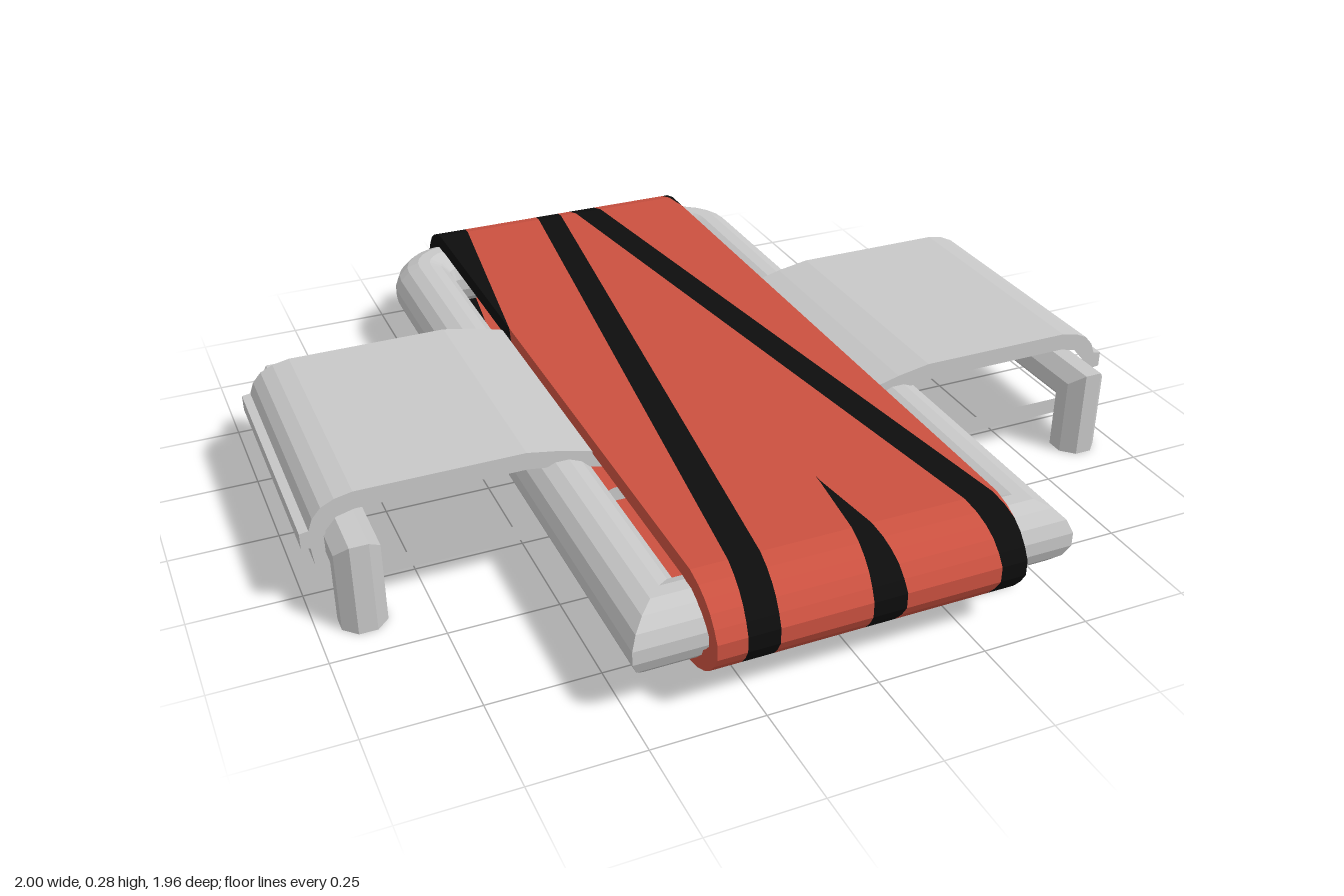
import * as THREE from 'three';

const grey = new THREE.MeshStandardMaterial({ name: 'frame grey', color: 0xc8c8c8 });
const red = new THREE.MeshStandardMaterial({ name: 'belt red', color: 0xcb5140 });
const black = new THREE.MeshStandardMaterial({ name: 'stripe black', color: 0x0d0d0d });

const quad = (out, a, b, c, d) => out.push(...a, ...b, ...c, ...a, ...c, ...d);

function flatMesh(name, positions, material) {
  const g = new THREE.BufferGeometry();
  g.setAttribute('position', new THREE.Float32BufferAttribute(positions, 3));
  g.computeVertexNormals();
  const m = new THREE.Mesh(g, material);
  m.name = name;
  return m;
}

// Sweep a polygon along a flat path with mitred corners; map turns (u, v, w) into x, y, z
function sweep(path, radius, sides, closed, map) {
  const n = path.length, out = [];
  const dir = (a, b) => new THREE.Vector2(b[0] - a[0], b[1] - a[1]).normalize();
  const rings = path.map((p, i) => {
    const next = closed || i < n - 1 ? dir(p, path[(i + 1) % n]) : null;
    const prev = closed || i > 0 ? dir(path[(i + n - 1) % n], p) : next;
    const t = prev.clone().add(next || prev).normalize();
    const stretch = 1 / t.dot(prev);
    return Array.from({ length: sides }, (_, j) => {
      const a = (j + 0.5) / sides * Math.PI * 2, r = radius / Math.cos(Math.PI / sides);
      const k = Math.cos(a) * r * stretch;
      return map(p[0] - t.y * k, p[1] + t.x * k, Math.sin(a) * r);
    });
  });
  for (let i = 0; i < (closed ? n : n - 1); i++) {
    const A = rings[i], B = rings[(i + 1) % n];
    for (let j = 0; j < sides; j++) {
      const k = (j + 1) % sides;
      quad(out, A[j], A[k], B[k], B[j]);
    }
  }
  if (!closed) {
    const S = rings[0], E = rings[n - 1];
    for (let j = 1; j < sides - 1; j++) out.push(...S[0], ...S[j + 1], ...S[j], ...E[0], ...E[j], ...E[j + 1]);
  }
  return out;
}

// Belt: a hollow loop cut into red and black strips that taper along z
function makeBelt() {
  const L = -0.35, R = 0.345, mid = 0.17;
  const line = (z0, x0, z1, x1) => z =>
    THREE.MathUtils.clamp(x0 + (x1 - x0) * (z - z0) / (z1 - z0), L, R);
  const wedge = side => z => 0.027 + side * Math.max(0, (z - 0.66) / 0.32) * 0.038;
  const edges = [
    () => L,
    line(-0.98, -0.255, -0.25, -0.35),
    line(-0.98, -0.048, 0.98, -0.285), line(-0.98, 0.018, 0.98, -0.215),
    wedge(-1), wedge(1),
    line(-0.98, 0.03, 0.98, 0.285), line(-0.98, 0.105, 0.92, 0.345),
    line(-0.98, 0.315, -0.78, 0.345),
    () => R,
  ];
  // Side outline of the loop: along the top to the back, then returning below
  const end = [[0.85, 0.28], [0.89, 0.27], [0.92, 0.256], [0.945, 0.238], [0.965, 0.214], [0.98, 0.188],
    [0.98, 0.152], [0.965, 0.126], [0.945, 0.102], [0.92, 0.084], [0.89, 0.07], [0.85, 0.06]];
  const outer = [], steps = 85;
  for (let i = 1; i < steps; i++) outer.push([0.85 - 1.7 * i / steps, 0.28]);
  end.forEach(([z, y]) => outer.push([-z, y]));
  for (let i = 1; i < steps; i++) outer.push([-0.85 + 1.7 * i / steps, 0.06]);
  [...end].reverse().forEach(p => outer.push(p));
  const inset = ([z, y]) => [z * 0.96, mid + (y - mid) * 0.66];

  const belt = new THREE.Group();
  belt.name = 'belt';
  for (let s = 0; s < edges.length - 1; s++) {
    const out = [];
    outer.forEach((p, i) => {
      const q = outer[(i + 1) % outer.length], pi = inset(p), qi = inset(q);
      const l0 = edges[s](p[0]), r0 = edges[s + 1](p[0]), l1 = edges[s](q[0]), r1 = edges[s + 1](q[0]);
      if (Math.max(r0 - l0, r1 - l1) < 1e-5) return;
      const at = (x, c) => [x, c[1], c[0]];
      quad(out, at(l0, p), at(r0, p), at(r1, q), at(l1, q));
      quad(out, at(l0, pi), at(l1, qi), at(r1, qi), at(r0, pi));
      if (r0 + r1 > 2 * R - 1e-5) quad(out, at(R, pi), at(R, qi), at(R, q), at(R, p));
      if (l0 + l1 < 2 * L + 1e-5) quad(out, at(L, pi), at(L, p), at(L, q), at(L, qi));
    });
    belt.add(flatMesh(s % 2 ? 'beltPanel' : 'beltStripe', out, s % 2 ? red : black));
  }
  return belt;
}

// Cross strap: a hollow loop, pinched in where it passes through the belt
function makeStrap() {
  const outer = [[0.3, 0.235], [0.34, 0.245], [0.42, 0.266], [0.5, 0.28], [0.88, 0.28], [0.92, 0.272],
    [0.95, 0.258], [0.97, 0.235], [0.98, 0.208], [1, 0.205], [1, 0.168], [0.98, 0.165], [0.975, 0.12],
    [0.96, 0.09], [0.93, 0.07], [0.88, 0.06], [0.43, 0.06], [0.34, 0.082], [0.3, 0.105]];
  const inner = [[0.3, 0.195], [0.42, 0.227], [0.5, 0.238], [0.88, 0.238], [0.92, 0.228], [0.945, 0.2],
    [0.945, 0.135], [0.92, 0.11], [0.88, 0.1], [0.43, 0.1], [0.3, 0.14]];
  const loop = half => [...half, ...half.map(([x, y]) => [-x, y]).reverse()].map(p => new THREE.Vector2(...p));
  const shape = new THREE.Shape(loop(outer));
  shape.holes.push(new THREE.Path(loop(inner)));
  const g = new THREE.ExtrudeGeometry(shape, { depth: 0.63, bevelEnabled: false });
  g.translate(0, 0, -0.31);
  const m = new THREE.Mesh(g, grey);
  m.name = 'crossStrap';
  return m;
}

export function createModel() {
  const model = new THREE.Group();
  model.name = 'model';
  model.add(makeBelt(), makeStrap());

  // Tubular ring: square front corners, rounded back corners
  const w = 0.42, r = 0.09, back = -0.855, path = [[w, 0.84], [-w, 0.84]];
  for (const side of [-1, 1]) {
    for (let i = 0; i <= 6; i++) {
      const a = (side < 0 ? i : 6 - i) / 6 * Math.PI / 2;
      path.push([side * (w - r + r * Math.cos(a)), back + r - r * Math.sin(a)]);
    }
  }
  model.add(flatMesh('ringTube', sweep(path, 0.08, 16, true, (u, v, t) => [u, 0.16 - t, v]), grey));

  // Legs: a bent rod through each strap end
  const bend = [[0.38, 0], [0.38, 0.168], [-0.365, 0.168], [-0.365, 0]];
  for (const side of [1, -1]) {
    model.add(flatMesh(side > 0 ? 'leftLegs' : 'rightLegs',
      sweep(bend, 0.05, 8, false, (u, v, t) => [side * 0.9 - t, v, u]), grey));
  }
  return model;
}
